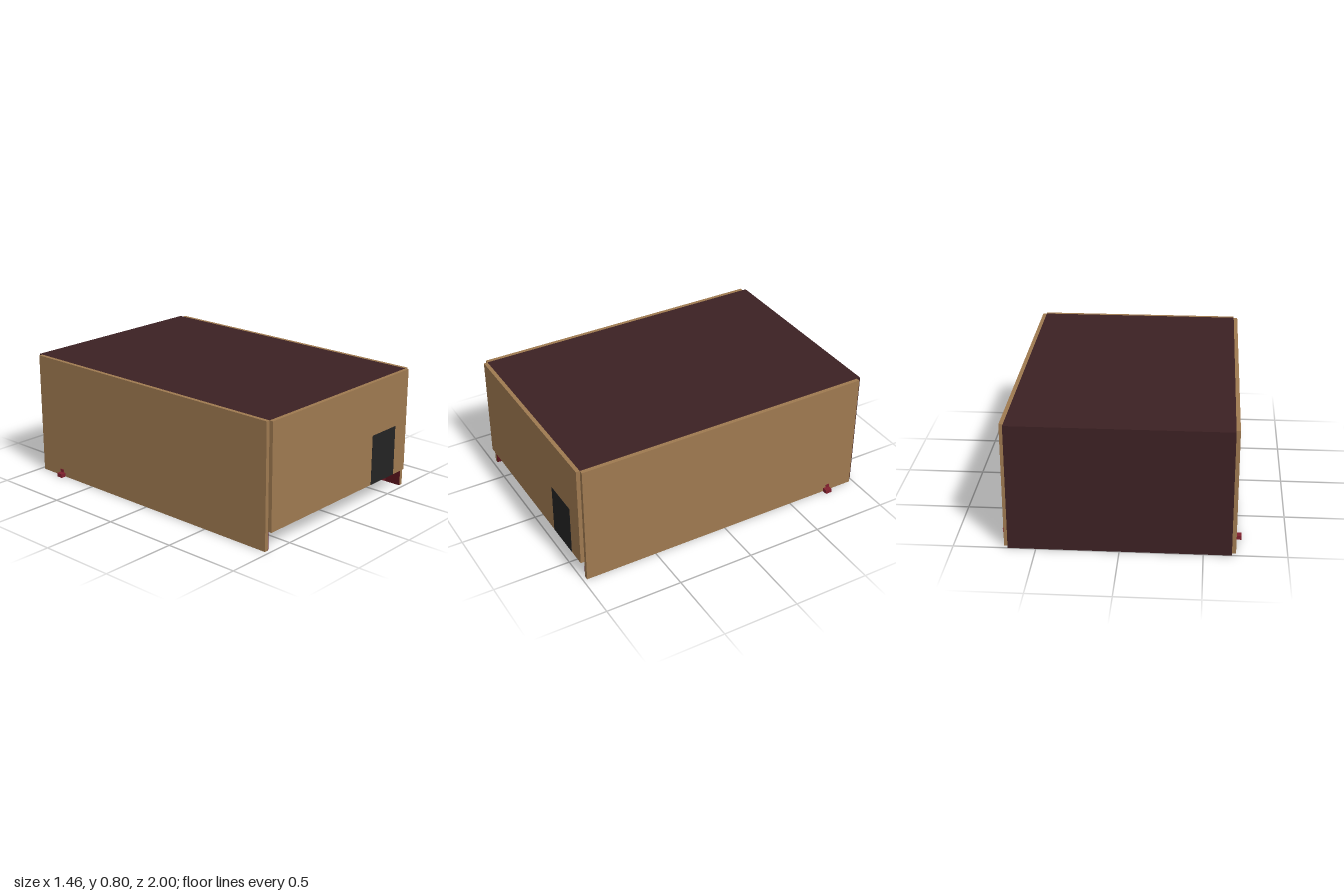
import * as THREE from 'three';

const material = (name, color) => new THREE.MeshStandardMaterial({ name, color });

export function createModel() {
  const model = new THREE.Group();
  model.name = 'slopedFloorCabinet';
  const tan = material('tanWood', 0x9e7950);
  const brown = material('darkBrown', 0x3c2123);
  const red = material('red', 0x80212e);
  const darkRed = material('darkRed', 0x5a141d);
  const black = material('black', 0x232323);

  // Box given by its minimum and maximum corners
  function box(name, mat, min, max, parent = model) {
    const size = max.map((v, i) => v - min[i]);
    const mesh = new THREE.Mesh(new THREE.BoxGeometry(...size), mat);
    mesh.position.set(...max.map((v, i) => (v + min[i]) / 2));
    mesh.name = name;
    parent.add(mesh);
    return mesh;
  }

  // Shell panels
  box('frontPanel', tan, [-0.67, 0.12, 0.975], [0.67, 0.8, 1]);
  box('backPanel', brown, [-0.67, 0, -1], [0.67, 0.8, -0.975]);
  box('topPanel', brown, [-0.67, 0.775, -0.975], [0.67, 0.8, 0.975]);
  box('doorway', black, [0.305, 0.12, 0.998], [0.55, 0.45, 1.001]);

  // Floor rising from the back edge to the bottom of the front panel
  const floorY = z => 0.12 * (z + 0.975) / 1.95;
  const profile = new THREE.Shape([
    new THREE.Vector2(-0.975, 0), new THREE.Vector2(0.975, 0.12),
    new THREE.Vector2(0.975, 0.145), new THREE.Vector2(-0.975, 0.025),
  ]);
  const floorGeometry = new THREE.ExtrudeGeometry(profile, { depth: 1.34, bevelEnabled: false });
  floorGeometry.rotateY(-Math.PI / 2).translate(0.67, 0, 0);
  const floor = new THREE.Mesh(floorGeometry, red);
  floor.name = 'slopedFloor';
  model.add(floor);

  // Rows of small vents under the floor
  const vents = new THREE.Group();
  vents.name = 'floorVents';
  model.add(vents);
  function vent(x, z) {
    const mesh = box('vent', black, [x - 0.009, floorY(z) - 0.003, z - 0.017],
      [x + 0.009, floorY(z) + 0.003, z + 0.017], vents);
    mesh.rotation.x = -Math.atan(0.12 / 1.95);
  }
  for (let column = 0; column < 13; column++) {
    for (let row = 0; row < 10; row++) vent(-0.56 + column * 0.072, -0.38 + row * 0.1);
  }
  vent(0.56, -0.81);

  // Mirrored side panels, striped inner faces and pegs
  for (const side of [1, -1]) {
    const name = side > 0 ? 'left' : 'right';
    const sideBox = (part, mat, x0, x1, y0, y1, z0, z1) => box(name + part, mat,
      [Math.min(side * x0, side * x1), y0, z0], [Math.max(side * x0, side * x1), y1, z1]);
    sideBox('SidePanel', tan, 0.67, 0.695, 0, 0.8, -0.975, 0.975);
    for (let i = 0; i < 18; i++) {
      const z = 0.975 - i * 0.1083;
      sideBox('InnerStripe', i % 2 ? red : darkRed, 0.666, 0.6705, 0.001, floorY(z) + 0.01, z - 0.1083, z);
    }
    sideBox('Peg', red, 0.69, 0.73, 0, 0.025, -0.807, -0.763);
    sideBox('PegPlate', red, 0.69, 0.699, 0.025, 0.045, -0.807, -0.78);
  }
  return model;
}
